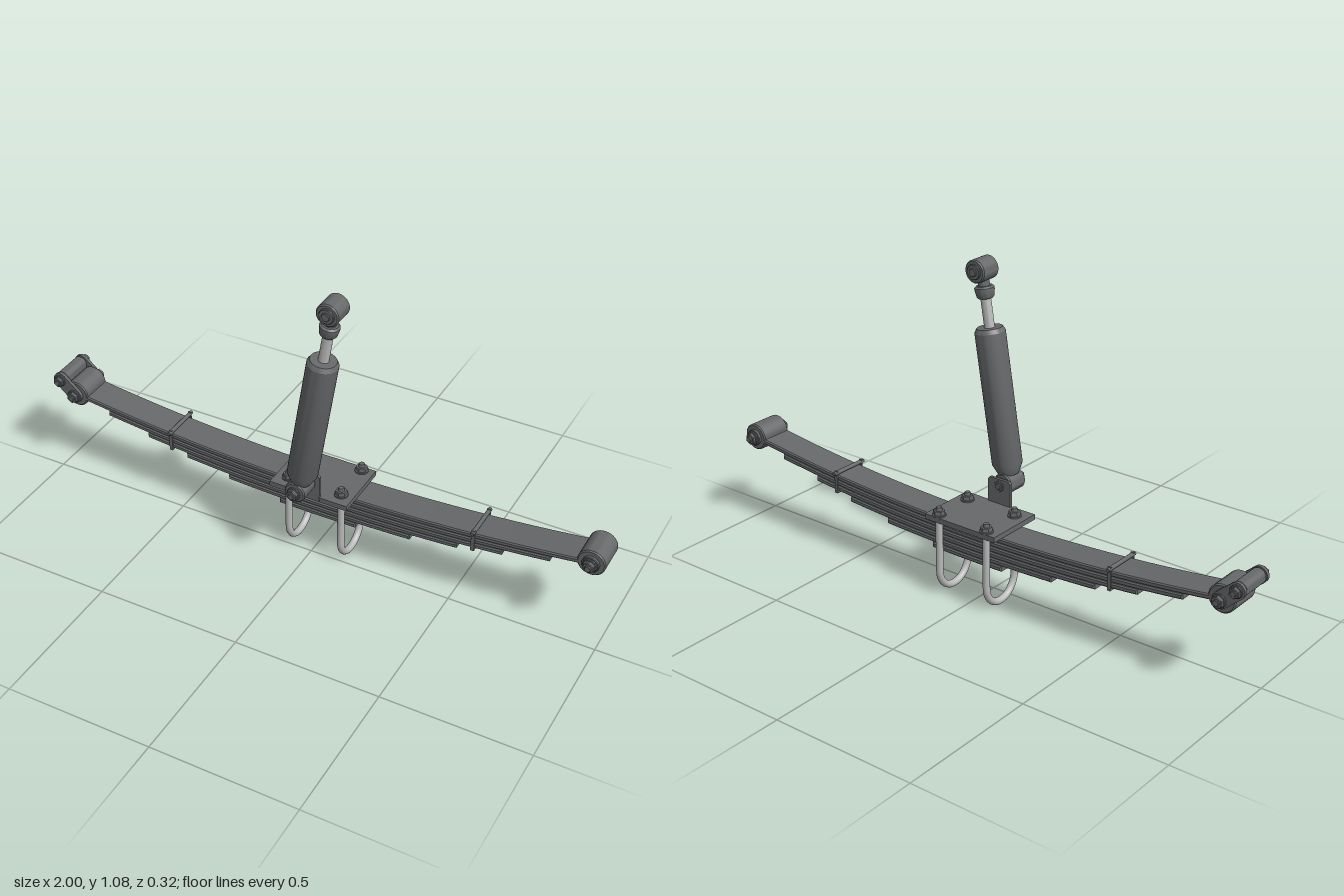
import * as THREE from 'three';
import { toCreasedNormals } from 'three/addons/utils/BufferGeometryUtils.js';

const CX = 0.015;    // middle of the spring along x
const CZ = -0.067;   // middle of the spring along z
const CURVE = 0.0766; // leaf curvature
const PITCH = 0.0197; // leaf spacing
const THICK = 0.018;

export function createModel() {
  const steel = new THREE.MeshStandardMaterial({ color: 0x66686a });
  steel.name = 'dark steel';
  const chrome = new THREE.MeshStandardMaterial({ color: 0xb9bab9 });
  chrome.name = 'bright steel';

  const model = new THREE.Group();
  model.name = 'leafSpringAndDamper';

  const add = (parent, name, geometry, material, x = 0, y = 0, z = 0) => {
    const mesh = new THREE.Mesh(geometry, material);
    mesh.name = name;
    mesh.position.set(x, y, z);
    parent.add(mesh);
    return mesh;
  };
  const box = (parent, name, w, h, d, x, y, z) =>
    add(parent, name, new THREE.BoxGeometry(w, h, d), steel, x, y, z);

  // Barrel along z with slightly bevelled rims
  const barrel = (parent, name, r, length, x, y, z, sides = 32, bevel = 0.004) => {
    const h = length / 2;
    const profile = [[0, -h], [r - bevel, -h], [r, -h + bevel], [r, h - bevel], [r - bevel, h], [0, h]]
      .map(p => new THREE.Vector2(...p));
    const g = toCreasedNormals(new THREE.LatheGeometry(profile, sides), 0.6);
    g.rotateX(Math.PI / 2);
    return add(parent, name, g, steel, x, y, z);
  };

  // Through bolt along z: shank ends, washers and hexagon heads; seat is the clamped half length
  const bolt = (parent, name, x, y, z, seat, reach, r = 0.02) => {
    const g = new THREE.Group();
    g.name = name;
    g.position.set(x, y, z);
    parent.add(g);
    barrel(g, 'shank', r * 0.55, reach * 2, 0, 0, 0, 16, 0.002);
    for (const s of [-1, 1]) {
      barrel(g, 'washer', r * 1.15, 0.006, 0, 0, s * (seat + 0.003), 24, 0.001);
      barrel(g, 'hexHead', r, 0.013, 0, 0, s * (seat + 0.0115), 6, 0.002);
    }
  };

  const rise = u => CURVE * u * u;

  // Leaves, from the main one down to the short bottom one
  [0.925, 0.805, 0.649, 0.497, 0.334, 0.14].forEach((half, i) => {
    const y0 = 0.256 - i * PITCH, bevel = 0.004, t = THICK / 2 - bevel, n = 28;
    const shape = new THREE.Shape();
    const ends = half - bevel;
    for (let k = 0; k <= n; k++) {
      const u = -ends + (2 * ends * k) / n;
      if (k) shape.lineTo(u, rise(u) - t);
      else shape.moveTo(u, rise(u) - t);
    }
    for (let k = n; k >= 0; k--) {
      const u = -ends + (2 * ends * k) / n;
      shape.lineTo(u, rise(u) + t);
    }
    const depth = 0.114 - 2 * bevel;
    const g = new THREE.ExtrudeGeometry(shape, {
      depth, bevelEnabled: true, bevelSize: bevel, bevelThickness: bevel, bevelSegments: 1,
    });
    g.translate(0, 0, -depth / 2);
    add(model, i ? 'leaf' + (i + 1) : 'mainLeaf', toCreasedNormals(g, 0.4), steel, CX, y0, CZ);
  });

  // Eyes with bolts at both ends of the main leaf
  const EYE_Y = 0.325, LEFT = 0.951, RIGHT = -0.92;
  barrel(model, 'leftEye', 0.046, 0.114, LEFT, EYE_Y, CZ);
  barrel(model, 'rightEye', 0.046, 0.114, RIGHT, EYE_Y, CZ);
  for (const s of [-1, 1]) barrel(model, 'leftEyeBush', 0.028, 0.012, LEFT, EYE_Y, CZ + s * 0.061, 28, 0.002);
  bolt(model, 'leftEyeBolt', LEFT, EYE_Y, CZ, 0.066, 0.091);
  bolt(model, 'rightEyeBolt', RIGHT, EYE_Y, CZ, 0.069, 0.091);

  // Swinging shackle on the right end
  const shackle = new THREE.Group();
  shackle.name = 'shackle';
  model.add(shackle);
  const PIN_X = -0.973, PIN_Y = 0.372;
  const dx = PIN_X - RIGHT, dy = PIN_Y - EYE_Y, span = Math.hypot(dx, dy);
  barrel(shackle, 'upperBush', 0.025, 0.114, PIN_X, PIN_Y, CZ);
  const link = new THREE.Shape();
  link.absarc(0, 0, 0.027, Math.PI / 2, Math.PI * 1.5, false);
  link.absarc(span, 0, 0.027, -Math.PI / 2, Math.PI / 2, false);
  const linkGeometry = toCreasedNormals(
    new THREE.ExtrudeGeometry(link, { depth: 0.011, bevelEnabled: false, curveSegments: 14 }), 0.6);
  linkGeometry.translate(0, 0, -0.0055);
  for (const s of [-1, 1]) {
    add(shackle, 'shacklePlate', linkGeometry, steel, RIGHT, EYE_Y, CZ + s * 0.063)
      .rotation.z = Math.atan2(dy, dx);
  }
  bolt(shackle, 'upperPin', PIN_X, PIN_Y, CZ, 0.069, 0.089, 0.018);

  // Rebound clips around the upper four leaves
  for (const u of [-0.553, 0.553]) {
    const clip = new THREE.Group();
    clip.name = 'reboundClip';
    clip.position.set(CX + u, rise(u), CZ);
    model.add(clip);
    box(clip, 'clipBottom', 0.012, 0.006, 0.126, 0, 0.205, 0);
    for (const s of [-1, 1]) box(clip, 'clipSide', 0.012, 0.08, 0.005, 0, 0.242, s * 0.0605);
    barrel(clip, 'clipPin', 0.007, 0.145, 0, 0.274, 0, 12, 0.001);
  }

  // Clamp plate with the upright damper tab
  box(model, 'clampPlate', 0.28, 0.018, 0.211, CX, 0.275, -0.0525);
  const tab = new THREE.Shape();
  tab.moveTo(-0.045, 0);
  tab.lineTo(0.045, 0);
  tab.lineTo(0.045, 0.095);
  tab.lineTo(0.037, 0.103);
  tab.lineTo(-0.037, 0.103);
  tab.lineTo(-0.045, 0.095);
  add(model, 'damperTab', new THREE.ExtrudeGeometry(tab, { depth: 0.01, bevelEnabled: false }),
    steel, 0.013, 0.268, 0.044);

  // U-bolts with nuts on the clamp plate
  const R = 0.072, ARC_Y = 0.084;
  const path = new THREE.CurvePath();
  const half = [];
  for (let k = 0; k <= 16; k++) {
    const a = Math.PI + (Math.PI * k) / 16;
    half.push(new THREE.Vector3(0, ARC_Y + R * Math.sin(a), R * Math.cos(a)));
  }
  path.add(new THREE.LineCurve3(new THREE.Vector3(0, 0.29, -R), half[0]));
  path.add(new THREE.CatmullRomCurve3(half));
  path.add(new THREE.LineCurve3(half[16], new THREE.Vector3(0, 0.29, R)));
  const uGeometry = new THREE.TubeGeometry(path, 64, 0.012, 16);
  for (const x of [-0.08, 0.112]) {
    add(model, 'uBolt', uGeometry, chrome, x, 0, CZ);
    for (const s of [-1, 1]) {
      const z = CZ + s * R;
      add(model, 'uBoltWasher', new THREE.CylinderGeometry(0.023, 0.023, 0.005, 24), steel, x, 0.286, z);
      add(model, 'uBoltNut', toCreasedNormals(new THREE.CylinderGeometry(0.019, 0.02, 0.014, 6), 0.5), steel, x, 0.295, z);
      add(model, 'uBoltEnd', new THREE.CylinderGeometry(0.009, 0.011, 0.012, 16), steel, x, 0.307, z);
    }
  }

  // Damper, built upright from its lower eye and then leaned over
  const damper = new THREE.Group();
  damper.name = 'damper';
  damper.position.set(0.013, 0.346, 0.1);
  damper.rotation.z = -Math.atan2(0.112, 0.694);
  model.add(damper);
  const TOP = 0.703;
  const turned = (name, points, material) => add(damper, name, toCreasedNormals(
    new THREE.LatheGeometry(points.map(p => new THREE.Vector2(...p)), 32), 0.5), material);
  turned('damperBody', [[0, 0.022], [0.034, 0.027], [0.05, 0.062], [0.05, 0.502], [0.042, 0.516], [0, 0.516]], steel);
  turned('damperRod', [[0.017, 0.51], [0.017, 0.63]], chrome);
  turned('rodCollar', [[0, 0.611], [0.024, 0.611], [0.028, 0.616], [0.032, 0.637], [0.032, 0.645],
    [0.026, 0.651], [0.019, 0.651], [0.019, 0.68]], steel);
  barrel(damper, 'lowerEye', 0.036, 0.077, 0, 0, 0);
  bolt(damper, 'lowerBolt', 0, 0, 0, 0.04, 0.063);
  barrel(damper, 'upperEye', 0.038, 0.077, 0, TOP, 0);
  barrel(damper, 'upperBush', 0.025, 0.09, 0, TOP, 0, 28, 0.002);
  barrel(damper, 'upperSleeve', 0.014, 0.1, 0, TOP, 0, 20, 0.002);

  return model;
}
